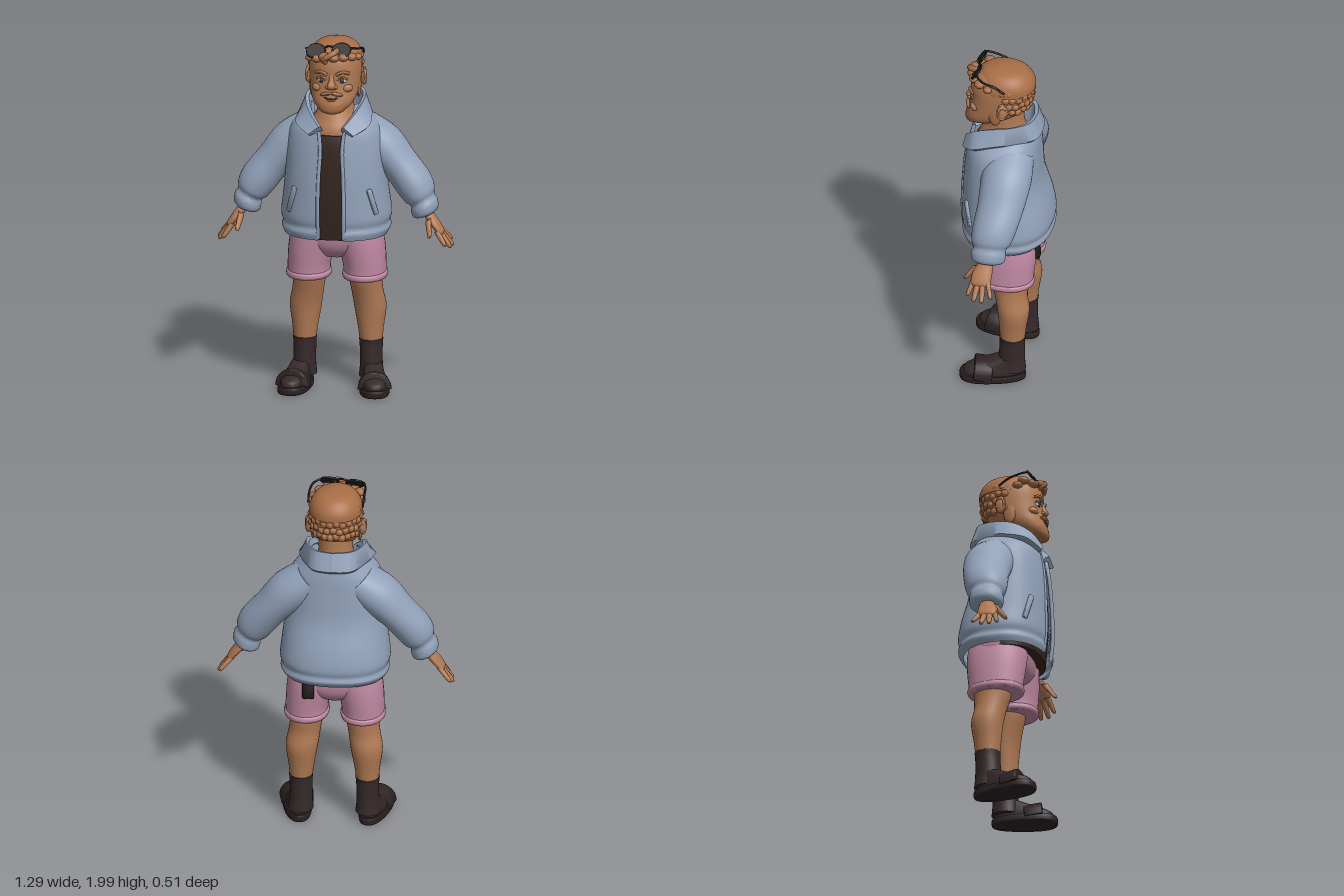
import * as THREE from 'three';
import { toCreasedNormals } from 'three/addons/utils/BufferGeometryUtils.js';
import { RoundedBoxGeometry } from 'three/addons/geometries/RoundedBoxGeometry.js';

const V = (x, y, z) => new THREE.Vector3(x, y, z);
const mat = (name, color, side = THREE.FrontSide) => {
  const m = new THREE.MeshStandardMaterial({ color, side });
  m.name = name;
  return m;
};

// Skin a grid of point rows; closed rows wrap around and get capped ends
function skinRows(rows, closed = true) {
  const n = rows[0].length, pos = [], idx = [];
  rows.forEach(r => r.forEach(p => pos.push(p.x, p.y, p.z)));
  for (let i = 0; i < rows.length - 1; i++)
    for (let j = 0; j < (closed ? n : n - 1); j++) {
      const a = i * n + j, b = i * n + (j + 1) % n;
      idx.push(a, a + n, b, b, a + n, b + n);
    }
  if (closed) [0, rows.length - 1].forEach((r, end) => {
    const c = rows[r].reduce((s, p) => s.add(p), V(0, 0, 0)).divideScalar(n);
    const k = pos.length / 3;
    pos.push(c.x, c.y, c.z);
    for (let j = 0; j < n; j++) {
      const a = r * n + j, b = r * n + (j + 1) % n;
      end ? idx.push(k, b, a) : idx.push(k, a, b);
    }
  });
  const g = new THREE.BufferGeometry();
  g.setAttribute('position', new THREE.Float32BufferAttribute(pos, 3));
  g.setIndex(idx);
  return g;
}

// Smoothly resample number rows
function resample(rows, steps) {
  const out = [], last = rows.length - 1;
  const at = i => rows[Math.min(last, Math.max(0, i))];
  for (let i = 0; i < last; i++)
    for (let s = 0; s < steps; s++) {
      const t = s / steps;
      out.push(rows[i].map((_, k) => {
        const [a, b, c, d] = [at(i - 1)[k], at(i)[k], at(i + 1)[k], at(i + 2)[k]];
        return b + 0.5 * t * (c - a + t * (2 * a - 5 * b + 4 * c - d + t * (3 * (b - c) + d - a)));
      }));
    }
  out.push(rows[last]);
  return out;
}

// Loft through sections [x, y, z, width radius, depth radius, tilt in degrees, front gap]
function loft(sections, { n = 28, p = 1, steps = 4, open = false } = {}) {
  const pw = v => Math.sign(v) * Math.abs(v) ** p;
  const rows = resample(sections, steps).map(([x, y, z, rx, rz, tilt = 0, gap = 0]) => {
    const t = THREE.MathUtils.degToRad(tilt);
    const g = open ? Math.asin((gap / rx) ** (1 / p)) : 0;
    return Array.from({ length: n }, (_, j) => {
      const a = Math.PI / 2 + g + (j / (open ? n - 1 : n)) * (2 * Math.PI - 2 * g);
      const u = rx * pw(Math.cos(a));
      return V(x + u * Math.cos(t), y + u * Math.sin(t), z + rz * pw(Math.sin(a)));
    });
  });
  return skinRows(rows, !open);
}

const ball = (x, y, z, rx, ry, rz) => new THREE.SphereGeometry(1, 18, 12).scale(rx, ry, rz).translate(x, y, z);
const tube = (pts, r, n = 24) => new THREE.TubeGeometry(new THREE.CatmullRomCurve3(pts.map(q => V(...q))), n, r, 8);

function mirrored(geo) {
  const g = geo.index ? geo.clone() : geo.clone().setIndex([...Array(geo.attributes.position.count).keys()]);
  g.scale(-1, 1, 1);
  const a = g.index.array;
  for (let i = 0; i < a.length; i += 3) [a[i], a[i + 1]] = [a[i + 1], a[i]];
  return g;
}

export function createModel() {
  const root = new THREE.Group();
  root.name = 'figure';
  const skin = mat('skin', 0xb17a54), hair = mat('hair', 0xa86e46);
  const cloth = mat('jacketBlue', 0x92a2ba, THREE.DoubleSide), pink = mat('shortsPink', 0xc18aa3);
  const shirtMat = mat('shirtBrown', 0x35251f), sockMat = mat('sockBrown', 0x35292a), sandalMat = mat('sandalDark', 0x2c2122);
  const black = mat('glassesBlack', 0x231e1e), white = mat('eyeWhite', 0xc9c4c0), iris = mat('irisBlue', 0x2c3850);

  const add = (name, geo, m) => {
    const mesh = new THREE.Mesh(toCreasedNormals(geo, 0.9), m);
    mesh.name = name;
    root.add(mesh);
  };
  const pair = (name, geo, m) => {
    add(name + 'Left', geo, m);
    add(name + 'Right', mirrored(geo), m);
  };

  // Jacket body, open at the front
  add('jacketBody', loft([
    [0, .89, .01, .28, .23, 0, .068], [0, .925, 0, .297, .25, 0, .068], [0, .955, 0, .291, .243, 0, .068],
    [0, 1, 0, .301, .251, 0, .068], [0, 1.1, .008, .29, .242, 0, .068], [0, 1.25, .027, .275, .218, 0, .065],
    [0, 1.4, .026, .265, .206, 0, .058], [0, 1.5, .02, .24, .195, 0, .07], [0, 1.57, .002, .18, .168, 0, .1],
    [0, 1.62, -.015, .135, .14, 0, .11]], { n: 56, p: .87, open: true }), cloth);
  pair('jacketPlacket', tube([[.07, .9, .232], [.071, 1, .243], [.071, 1.1, .244], [.067, 1.25, .238], [.06, 1.4, .226], [.07, 1.5, .207]], .011), cloth);
  pair('pocketWelt', new RoundedBoxGeometry(.03, .155, .02, 2, .008).rotateZ(.32).rotateY(.68).translate(.222, 1.105, .184), cloth);

  // Collar: closed cross-sections swept from the nape to the lapel tip
  const edges = [
    [[0, 1.55, -.12], [.07, 1.55, -.1], [.11, 1.55, -.02], [.115, 1.55, .07], [.09, 1.52, .13], [.05, 1.5, .19]],
    [[0, 1.675, -.14], [.09, 1.675, -.115], [.14, 1.665, -.03], [.142, 1.645, .07], [.108, 1.59, .16], [.055, 1.525, .215]],
    [[0, 1.68, -.16], [.1, 1.68, -.132], [.155, 1.67, -.03], [.16, 1.65, .08], [.126, 1.598, .175], [.068, 1.53, .228]],
    [[0, 1.58, -.192], [.11, 1.58, -.165], [.185, 1.58, -.03], [.205, 1.56, .08], [.2, 1.53, .172], [.125, 1.487, .236]],
    [[0, 1.565, -.18], [.105, 1.565, -.152], [.175, 1.565, -.03], [.193, 1.545, .075], [.187, 1.515, .16], [.115, 1.478, .222]],
  ].map(e => resample(e, 6));
  pair('collar', skinRows(edges[0].map((_, i) => edges.map(e => V(...e[i])))), cloth);

  // Sleeves, cuff to shoulder
  pair('sleeve', loft([
    [.492, 1.005, .02, .06, .078, 20], [.49, 1.02, .02, .076, .092, 22], [.483, 1.055, .02, .079, .096, 25],
    [.472, 1.085, .015, .073, .09, 28], [.458, 1.115, .01, .092, .108, 32], [.42, 1.175, 0, .103, .12, 34],
    [.34, 1.275, -.02, .102, .128, 36], [.235, 1.385, -.03, .12, .138, 38], [.12, 1.47, -.03, .11, .13, 42]], { n: 32 }), cloth);

  // Hands with four fingers and a thumb
  pair('palm', loft([
    [.588, .905, .045, .008, .04, 35], [.578, .917, .045, .018, .052, 35], [.545, .96, .042, .024, .055, 33],
    [.51, 1.005, .03, .027, .042, 32], [.485, 1.04, .02, .03, .042, 30]], { n: 20 }), skin);
  [[.56, .925, .085, .612, .848, .112, .015], [.57, .918, .06, .637, .832, .073, .016],
    [.572, .918, .034, .643, .832, .028, .016], [.565, .928, .009, .632, .855, -.022, .014],
    [.512, .985, .078, .53, .9, .142, .017]].forEach(([x, y, z, tx, ty, tz, r], i) => {
    const at = (t, k) => [tx + (x - tx) * t, ty + (y - ty) * t, tz + (z - tz) * t, r * k, r * k, 35];
    pair(i < 4 ? 'finger' + (i + 1) : 'thumb',
      loft([at(0, .2), at(.04, .55), at(.15, .8), at(.5, .95), at(1, 1.1)], { n: 12, steps: 2 }), skin);
  });

  // Shirt, chest and neck
  add('shirt', loft([[0, .885, .01, .25, .2], [0, 1.1, .01, .26, .215], [0, 1.25, .025, .25, .195],
    [0, 1.4, .025, .235, .182], [0, 1.47, .02, .2, .172]], { p: .87, n: 40 }), shirtMat);
  add('neck', loft([[0, 1.44, .02, .17, .165], [0, 1.5, .02, .15, .158], [0, 1.56, .02, .112, .128],
    [0, 1.62, .02, .095, .105], [0, 1.72, .03, .095, .11]], { n: 32 }), skin);

  // Shorts with rolled cuffs, and a cloth in the back pocket
  add('shortsSeat', loft([[0, .755, -.015, .08, .1], [0, .79, -.015, .16, .14], [0, .85, -.014, .245, .165],
    [0, .96, -.01, .258, .175]], { p: .9, n: 40 }), pink);
  pair('shortsLeg', loft([[.154, .64, -.015, .116, .148], [.152, .7, -.015, .117, .152], [.14, .79, -.015, .125, .162],
    [.125, .87, -.014, .13, .166], [.115, .94, -.01, .125, .16]], { p: .93, n: 32 }), pink);
  pair('shortsCuff', loft([[.154, .628, -.015, .108, .14], [.154, .632, -.015, .119, .152], [.154, .648, -.015, .124, .157],
    [.154, .664, -.015, .12, .153], [.154, .668, -.015, .11, .143]], { p: .93, n: 32 }), pink);
  add('pocketCloth', new RoundedBoxGeometry(.065, .13, .024, 3, .011).rotateX(.08).translate(.13, .86, -.182), black);

  // Legs and socks
  pair('leg', loft([[.182, .22, -.053, .058, .064], [.18, .33, -.055, .07, .074], [.177, .45, -.058, .088, .088],
    [.163, .54, -.043, .087, .09], [.153, .62, -.035, .09, .102], [.15, .74, -.03, .1, .11]]), skin);
  pair('sock', loft([[.185, .06, -.05, .07, .078], [.183, .13, -.05, .062, .072], [.182, .24, -.053, .063, .069],
    [.182, .268, -.054, .066, .072], [.182, .272, -.054, .06, .066]]), sockMat);

  // Feet, turned out: sock toe, sole and broad strap
  const foot = geo => {
    const p = geo.attributes.position;
    for (let i = 0; i < p.count; i++) p.setX(i, p.getX(i) * (1 + p.getZ(i) * .9));
    return geo.rotateY(.17).translate(.212, 0, .05);
  };
  pair('sockFoot', foot(loft([[0, .03, 0, .066, .163], [0, .065, -.005, .066, .16], [0, .09, -.025, .06, .135],
    [0, .115, -.055, .055, .1], [0, .14, -.085, .05, .07]], { p: .85 })), sockMat);
  pair('sandalSole', foot(loft([[0, 0, 0, .074, .174], [0, .006, 0, .079, .18], [0, .03, 0, .08, .181],
    [0, .042, 0, .076, .177]], { p: .83, n: 40 })), sandalMat);
  const arch = new THREE.Shape();
  arch.absellipse(0, .025, .079, .083, 0, Math.PI);
  pair('sandalStrap', foot(new THREE.ExtrudeGeometry(arch, { depth: .085, bevelSize: .006, bevelThickness: .008, bevelSegments: 2, curveSegments: 20 })
    .rotateX(-.12).translate(0, .005, .015)), sandalMat);

  // Head, ears and face
  add('head', loft([[0, 1.603, .175, .03, .035], [0, 1.612, .165, .06, .062], [0, 1.64, .138, .096, .098],
    [0, 1.68, .098, .122, .132], [0, 1.73, .06, .135, .157], [0, 1.79, .043, .141, .167], [0, 1.85, .037, .143, .172],
    [0, 1.9, .034, .136, .163], [0, 1.94, .03, .114, .132], [0, 1.965, .03, .08, .092], [0, 1.978, .03, .02, .025]],
  { p: .9, n: 40 }), skin);
  pair('ear', ball(0, 0, 0, .017, .048, .03).rotateX(-.2).rotateY(.3).translate(.148, 1.765, .008), skin);
  pair('earLobeRim', new THREE.TorusGeometry(.026, .008, 8, 18).scale(.9, 1.45, 1).rotateY(1.85).translate(.155, 1.77, .01), skin);
  add('noseBridge', loft([[0, 1.742, .208, .022, .022], [0, 1.76, .212, .024, .028], [0, 1.785, .205, .016, .02], [0, 1.82, .2, .014, .012]], { n: 16 }), skin);
  pair('nostril', ball(.02, 1.752, .212, .014, .012, .015), skin);
  pair('cheek', ball(.075, 1.742, .17, .037, .026, .032), skin);
  pair('eyeball', ball(.057, 1.787, .183, .025, .019, .02), white);
  pair('iris', ball(.055, 1.787, .198, .014, .015, .007), iris);
  pair('eyelid', tube([[.03, 1.79, .203], [.055, 1.808, .203], [.085, 1.793, .186]], .006), skin);
  pair('brow', tube([[.024, 1.821, .209], [.055, 1.836, .206], [.092, 1.826, .178]], .009), hair);

  // Beard, moustache and smile
  add('beard', loft([[0, 1.6, .185, .03, .03], [0, 1.612, .175, .062, .062], [0, 1.64, .155, .09, .085],
    [0, 1.67, .135, .105, .098], [0, 1.695, .12, .11, .095]], { p: .9, n: 32 }), hair);
  pair('moustache', ball(0, 0, 0, .036, .011, .014).rotateZ(-.25).rotateY(.3).translate(.03, 1.716, .219), hair);
  pair('sideburn', ball(.128, 1.725, .055, .014, .065, .035), hair);
  add('mouth', tube([[-.05, 1.702, .206], [-.022, 1.692, .227], [.022, 1.692, .227], [.05, 1.702, .206]], .0045), shirtMat);
  add('lowerLip', ball(0, 1.682, .222, .028, .008, .012), skin);

  // Hair: crown cap, rows of short curls round the back, swept curls in front
  add('hairCap', loft([[0, 1.86, .022, .146, .168], [0, 1.9, .022, .141, .163], [0, 1.94, .022, .12, .138],
    [0, 1.968, .025, .084, .1], [0, 1.984, .03, .02, .025]], { p: .95, n: 40 }), hair);
  for (let row = 0; row < 4; row++)
    for (let k = 0; k < 13; k++) {
      const a = Math.PI + (k + (row % 2) * .5 - .25) / 12.5 * Math.PI;
      const s = [.9, .96, .97, .93][row];
      add('backCurl', ball(Math.cos(a) * .135 * s, 1.755 + row * .042 + .006 * Math.sin(k * 2.3), .022 + Math.sin(a) * .147 * s, .024, .023, .024), hair);
    }
  [[-.13, 1.885, .1, .028], [-.118, 1.915, .13, .03], [-.085, 1.905, .175, .032], [-.04, 1.918, .195, .033],
    [.01, 1.915, .198, .032], [.06, 1.915, .182, .03], [.1, 1.91, .145, .03], [.128, 1.9, .095, .025]].forEach(([x, y, z, r]) =>
    add('frontCurl', ball(x, y, z, r, r * .75, r), hair));
  add('forelock', tube([[.03, 1.95, .15], [.015, 1.945, .205], [-.02, 1.925, .222], [-.045, 1.905, .212], [-.03, 1.892, .203]], .016), hair);

  // Sunglasses pushed up on the head
  [[-.09, 1.944, .172], [.05, 1.953, .172]].forEach(([x, y, z], i) => {
    const place = g => g.rotateX(-.65).rotateZ(.05).translate(x, y, z);
    add('lens' + i, place(new THREE.CylinderGeometry(.046, .046, .01, 28).rotateX(Math.PI / 2).scale(1.05, .87, 1)), black);
    add('lensFrame' + i, place(new THREE.TorusGeometry(.046, .006, 8, 28).scale(1.05, .87, 1)), black);
  });
  add('glassesBridge', tube([[-.045, 1.962, .165], [-.02, 1.972, .163], [.005, 1.966, .165]], .006), black);
  add('templeRight', tube([[-.138, 1.955, .165], [-.15, 1.945, .13], [-.15, 1.92, .05], [-.148, 1.885, .0]], .006), black);
  add('templeLeft', tube([[.098, 1.965, .165], [.135, 1.955, .13], [.15, 1.935, .05], [.149, 1.9, .0]], .006), black);

  return root;
}
